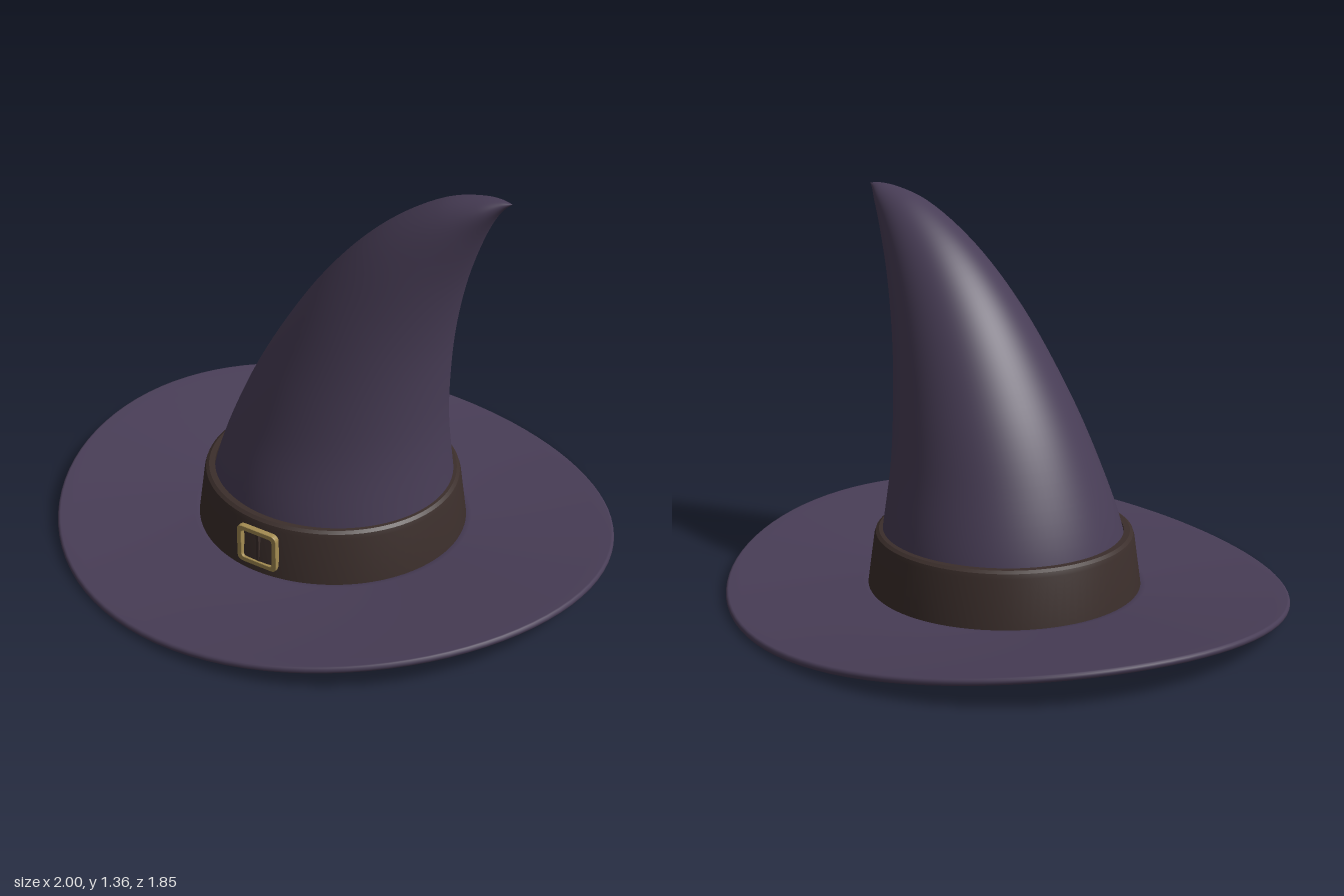
import * as THREE from 'three';
import { toCreasedNormals } from 'three/addons/utils/BufferGeometryUtils.js';

const SEG = 96;
const felt = new THREE.MeshStandardMaterial({ color: 0x483d56, side: THREE.DoubleSide });
const leather = new THREE.MeshStandardMaterial({ color: 0x3b2e2b });
const brass = new THREE.MeshStandardMaterial({ color: 0xa58d52 });

// Skins a stack of rings; point(i, angle) gives a Vector3. Optionally joins last ring to first.
function loft(rows, point, closed = false) {
  const pos = [], idx = [];
  for (let i = 0; i < rows; i++)
    for (let j = 0; j < SEG; j++) pos.push(...point(i, (j / SEG) * Math.PI * 2).toArray());
  for (let i = 0; i < (closed ? rows : rows - 1); i++)
    for (let j = 0; j < SEG; j++) {
      const k = (j + 1) % SEG, n = (i + 1) % rows;
      const a = i * SEG + j, b = i * SEG + k, c = n * SEG + k, d = n * SEG + j;
      idx.push(a, d, b, b, d, c);
    }
  const g = new THREE.BufferGeometry();
  g.setAttribute('position', new THREE.Float32BufferAttribute(pos, 3));
  g.setIndex(idx);
  g.computeVertexNormals();
  return g;
}

function addMesh(parent, name, geometry, material) {
  const m = new THREE.Mesh(geometry, material);
  m.name = name;
  parent.add(m);
  return m;
}

// Brim: oval sheet with a rounded rim, warped into a slanted saddle
function brimGeometry() {
  const half = 0.012, profile = [];
  const steps = 12;
  for (let i = 0; i <= steps; i++) profile.push([(i / steps) * 0.98, -half]);
  for (let i = 1; i < 6; i++) {
    const a = -Math.PI / 2 + (i / 6) * Math.PI;
    profile.push([0.98 + 0.02 * Math.cos(a), half * Math.sin(a)]);
  }
  for (let i = steps; i >= 0; i--) profile.push([(i / steps) * 0.98, half]);
  return loft(profile.length, (i, a) => {
    const [t, dy] = profile[i];
    const rx = THREE.MathUtils.lerp(0.45, 1, t), rz = THREE.MathUtils.lerp(0.44, 0.925, t);
    const y = 0.035 + 0.03 * t + 0.05 * t * Math.cos(2 * (a - 0.42)) + dy;
    return new THREE.Vector3(rx * Math.cos(a), y, rz * Math.sin(a));
  }, true);
}

// Crown: tilted oval sections between an outer and an inner side curve, bending to a point
function crownGeometry() {
  // outer x, outer y, inner x, inner y, half depth
  const sections = [
    [-0.45, 0.025, 0.45, 0.025, 0.44],
    [-0.41, 0.24, 0.425, 0.24, 0.405],
    [-0.32, 0.48, 0.41, 0.45, 0.345],
    [-0.2, 0.71, 0.414, 0.62, 0.295],
    [0, 1.0, 0.435, 0.83, 0.228],
    [0.2, 1.2, 0.48, 1.04, 0.163],
    [0.4, 1.325, 0.54, 1.21, 0.1],
    [0.53, 1.361, 0.585, 1.3, 0.055],
    [0.6, 1.367, 0.618, 1.343, 0.02],
    [0.64, 1.362, 0.64, 1.362, 0.0005],
  ];
  const outer = new THREE.CatmullRomCurve3(sections.map(s => new THREE.Vector3(s[0], s[1], s[4])));
  const inner = new THREE.CatmullRomCurve3(sections.map(s => new THREE.Vector3(s[2], s[3], s[4])));
  const rows = 55;
  return loft(rows, (i, a) => {
    const p = outer.getPoint(i / (rows - 1)), q = inner.getPoint(i / (rows - 1));
    const depth = (p.z + q.z) / 2, f = (1 + Math.cos(a)) / 2;
    return new THREE.Vector3(
      THREE.MathUtils.lerp(p.x, q.x, f), THREE.MathUtils.lerp(p.y, q.y, f), depth * Math.sin(a));
  });
}

// Band: thick tapered leather loop with a bevelled top edge
function bandGeometry() {
  const profile = [[0.478, 0.03], [0.452, 0.215], [0.447, 0.23], [0.436, 0.238], [0.415, 0.238], [0.43, 0.03]];
  const g = loft(profile.length, (i, a) =>
    new THREE.Vector3(profile[i][0] * Math.cos(a), profile[i][1], (profile[i][0] - 0.012) * Math.sin(a)), true);
  return toCreasedNormals(g, 0.6);
}

function roundedSquare(path, w, h, r) {
  path.moveTo(-w + r, -h);
  path.lineTo(w - r, -h); path.quadraticCurveTo(w, -h, w, -h + r);
  path.lineTo(w, h - r); path.quadraticCurveTo(w, h, w - r, h);
  path.lineTo(-w + r, h); path.quadraticCurveTo(-w, h, -w, h - r);
  path.lineTo(-w, -h + r); path.quadraticCurveTo(-w, -h, -w + r, -h);
  return path;
}

export function createModel() {
  const hat = new THREE.Group();
  hat.name = 'pointedHat';
  addMesh(hat, 'brim', brimGeometry(), felt);
  addMesh(hat, 'crown', crownGeometry(), felt);
  addMesh(hat, 'band', bandGeometry(), leather);

  // Buckle: rounded square frame with an upright prong
  const buckle = new THREE.Group();
  buckle.name = 'buckle';
  buckle.position.set(0, 0.14, 0.453);
  const shape = roundedSquare(new THREE.Shape(), 0.077, 0.069, 0.022);
  shape.holes.push(roundedSquare(new THREE.Path(), 0.063, 0.055, 0.014));
  const frame = new THREE.ExtrudeGeometry(shape, {
    depth: 0.014, bevelEnabled: true, bevelThickness: 0.003, bevelSize: 0.002, bevelSegments: 2, curveSegments: 8,
  });
  addMesh(buckle, 'buckleFrame', frame.translate(0, 0, -0.005), brass);
  addMesh(buckle, 'buckleProng', new THREE.BoxGeometry(0.01, 0.115, 0.012), leather);
  hat.add(buckle);
  return hat;
}
